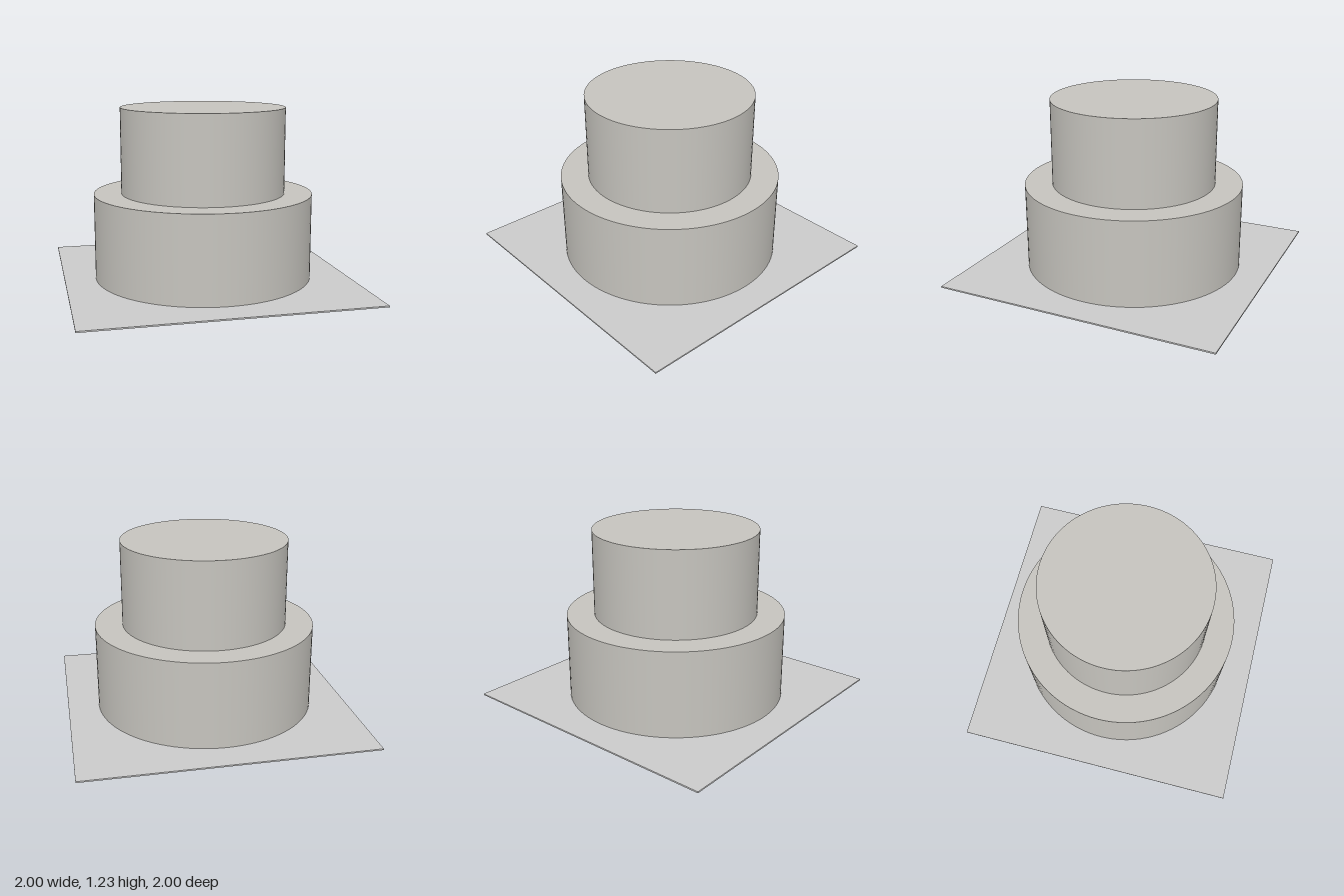
import * as THREE from 'three';

export function createModel() {
  const group = new THREE.Group();
  const grey = new THREE.MeshStandardMaterial({ color: 0xcccccc });
  const warmGrey = new THREE.MeshStandardMaterial({ color: 0xc6c4be });

  // Thin square board
  const boardHeight = 0.01;
  const board = new THREE.Mesh(new THREE.BoxGeometry(2, boardHeight, 2), grey);
  board.name = 'baseBoard';
  board.position.y = boardHeight / 2;
  group.add(board);

  // Round tiers stacked on the board
  const tierHeight = 0.61;
  const tiers = [['lowerTier', 0.78], ['upperTier', 0.585]];
  tiers.forEach(([name, radius], i) => {
    const tier = new THREE.Mesh(new THREE.CylinderGeometry(radius, radius, tierHeight, 96), warmGrey);
    tier.name = name;
    tier.position.y = boardHeight + tierHeight * (i + 0.5);
    group.add(tier);
  });

  return group;
}
